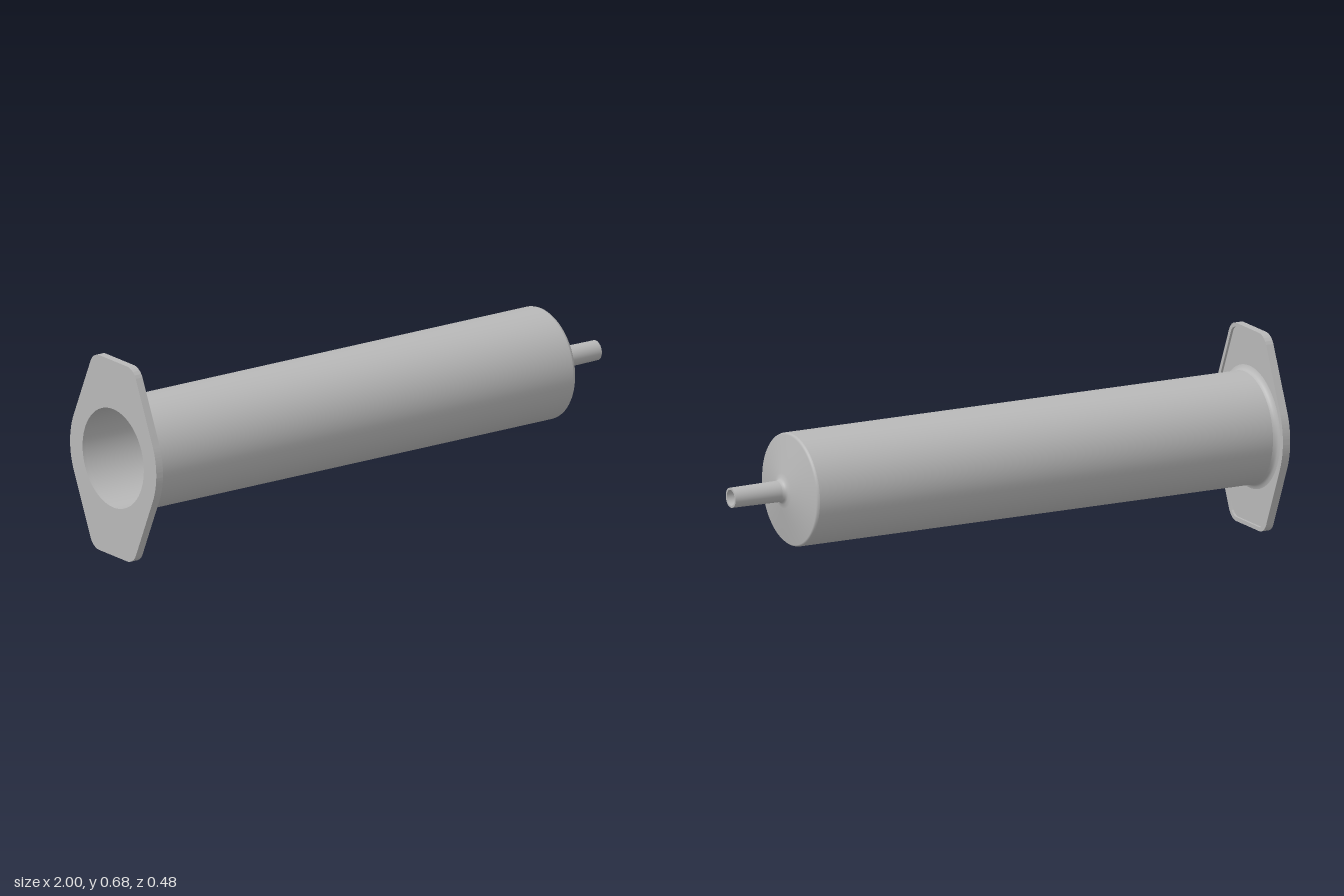
import * as THREE from 'three';
import { toCreasedNormals } from 'three/addons/utils/BufferGeometryUtils.js';

const AXIS_Y = 0.341;
const grey = new THREE.MeshStandardMaterial({ color: 0xb8b8b8 });
grey.name = 'grey plastic';

// Rounded hexagon with bulging sides, inset by d
function outline(PathType, d = 0) {
  const a = THREE.MathUtils.degToRad(24), R = 0.242, top = 0.341, r = 0.055;
  const cy = top - r;
  const cx = (R - r - cy * Math.sin(a)) / Math.cos(a);
  const q = Math.PI / 2, p = Math.PI;
  const path = new PathType();
  path.absarc(0, 0, R - d, -a, a, false);
  path.absarc(cx, cy, r - d, a, q, false);
  path.absarc(-cx, cy, r - d, q, p - a, false);
  path.absarc(0, 0, R - d, p - a, p + a, false);
  path.absarc(-cx, -cy, r - d, p + a, p + q, false);
  path.absarc(cx, -cy, r - d, p + q, 2 * p - a, false);
  return path;
}

export function createModel() {
  const model = new THREE.Group();
  model.name = 'syringeBarrel';

  const add = (name, geometry) => {
    const mesh = new THREE.Mesh(geometry, grey);
    mesh.name = name;
    mesh.position.y = AXIS_Y;
    model.add(mesh);
  };
  // Surface of revolution about the x axis from [radius, x] points
  const turn = (name, points) => {
    const g = new THREE.LatheGeometry(points.map(([r, x]) => new THREE.Vector2(r, x)), 72);
    add(name, g.rotateZ(-Math.PI / 2));
  };
  // Flange slab from x0 to x1
  const slab = (name, hole, x0, x1) => {
    const shape = outline(THREE.Shape);
    shape.holes.push(hole);
    const g = new THREE.ExtrudeGeometry(shape, { depth: x1 - x0, bevelEnabled: false, curveSegments: 36 });
    add(name, toCreasedNormals(g.rotateY(Math.PI / 2).translate(x0, 0, 0), 0.5));
  };

  // Finger flange: plate with the bore through it, and a raised rim
  const bore = new THREE.Path();
  bore.absarc(0, 0, 0.172, 0, Math.PI * 2, true);
  slab('flangePlate', bore, -1, -0.98);
  slab('flangeRim', outline(THREE.Path, 0.014), -0.98, -0.972);

  // Outer skin
  turn('baseFillet', [[0.21, -0.98], [0.201, -0.977], [0.195, -0.971], [0.192, -0.962]]);
  turn('barrelWall', [[0.192, -0.962], [0.192, 0.766]]);
  turn('shoulder', [[0.192, 0.766], [0.1905, 0.772], [0.186, 0.777], [0.06, 0.802],
    [0.045, 0.806], [0.038, 0.812], [0.036, 0.822]]);
  turn('nozzle', [[0.036, 0.822], [0.034, 1]]);
  turn('nozzleTip', [[0.034, 1], [0.027, 1]]);

  // Hollow inside
  turn('nozzleBore', [[0.027, 1], [0.027, 0.785]]);
  turn('innerCone', [[0.027, 0.785], [0.172, 0.755]]);
  turn('barrelBore', [[0.172, 0.755], [0.172, -0.98]]);

  return model;
}
